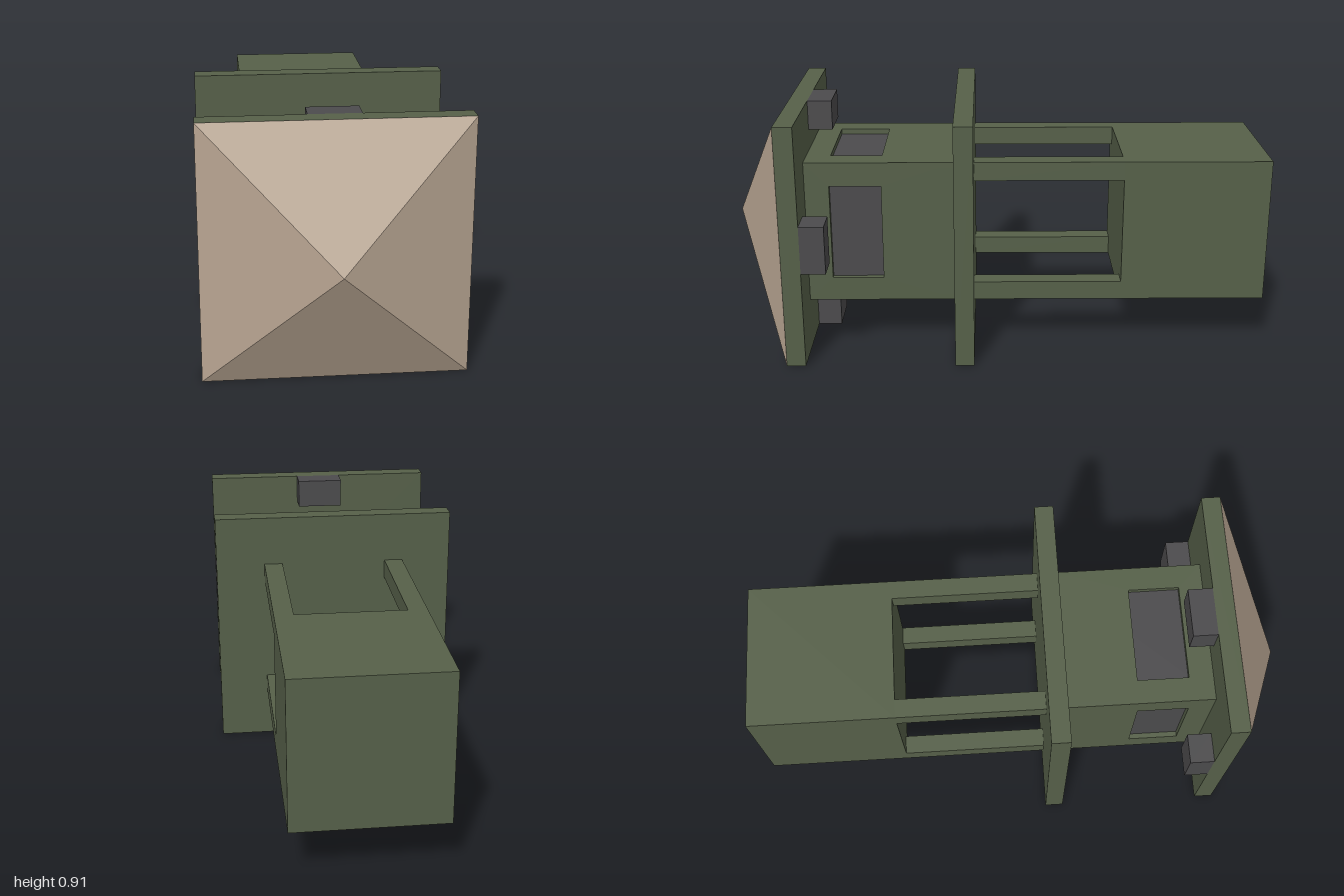
import * as THREE from 'three';

const material = (color) => new THREE.MeshStandardMaterial({ color, flatShading: true });

export function createModel() {
  const green = material(0x566049);
  const grey = material(0x4c4b4d);
  const tan = material(0xb8a592);

  const PLATE = 0.455; // half width of the square plates
  const BODY = 0.27;   // half width of the square body
  const RECESS = 0.02; // depth of the window panes
  const BAR = 0.07;

  const model = new THREE.Group();
  model.name = 'model';
  // Everything is laid out around the long z axis
  const axis = new THREE.Group();
  axis.name = 'assembly';
  axis.position.y = PLATE;
  model.add(axis);

  const add = (parent, name, geometry, mat) => {
    const mesh = new THREE.Mesh(geometry, mat);
    mesh.name = name;
    parent.add(mesh);
    return mesh;
  };
  // Box centred on x, y, spanning z0 to z1
  const block = (parent, name, w, h, z0, z1, mat, x = 0, y = 0) => {
    const mesh = add(parent, name, new THREE.BoxGeometry(w, h, z1 - z0), mat);
    mesh.position.set(x, y, (z0 + z1) / 2);
    return mesh;
  };

  // Pyramid tip
  const tip = new THREE.ConeGeometry(PLATE * Math.SQRT2, 0.22, 4);
  tip.rotateY(Math.PI / 4).rotateX(Math.PI / 2);
  add(axis, 'pyramidTip', tip, tan).position.z = 0.89;

  // Square plates and rear block
  block(axis, 'headPlate', PLATE * 2, PLATE * 2, 0.71, 0.78, green);
  block(axis, 'middlePlate', PLATE * 2, PLATE * 2, 0.09, 0.16, green);
  block(axis, 'rearBlock', BODY * 2, BODY * 2, -1, -0.46, green);

  // Four corner bars around the open section
  for (const sx of [-1, 1]) {
    for (const sy of [-1, 1]) {
      const c = BODY - BAR / 2;
      block(axis, 'cornerBar', BAR, BAR, -0.46, 0.09, green, sx * c, sy * c);
    }
  }

  // Dark core showing through the window frames
  const core = (BODY - RECESS) * 2;
  block(axis, 'windowCore', core, core, 0.16, 0.71, grey);

  // Frame outline: shape y becomes -z once laid flat
  const frame = new THREE.Shape();
  frame.moveTo(-BODY, -0.71).lineTo(BODY, -0.71).lineTo(BODY, -0.16).lineTo(-BODY, -0.16).closePath();
  const opening = new THREE.Path();
  opening.moveTo(-0.18, -0.62).lineTo(-0.18, -0.43).lineTo(0.18, -0.43).lineTo(0.18, -0.62).closePath();
  frame.holes.push(opening);
  const frameGeometry = new THREE.ExtrudeGeometry(frame, { depth: RECESS, bevelEnabled: false });
  frameGeometry.rotateX(-Math.PI / 2).translate(0, BODY - RECESS, 0);

  // Window frame and edge lug, repeated on the four sides
  for (let i = 0; i < 4; i++) {
    const side = new THREE.Group();
    side.name = 'bodySide';
    side.rotation.z = (i * Math.PI) / 2;
    add(side, 'windowFrame', frameGeometry, green);
    block(side, 'edgeLug', 0.18, 0.11, 0.62, 0.71, grey, 0, PLATE - 0.055);
    axis.add(side);
  }

  return model;
}
